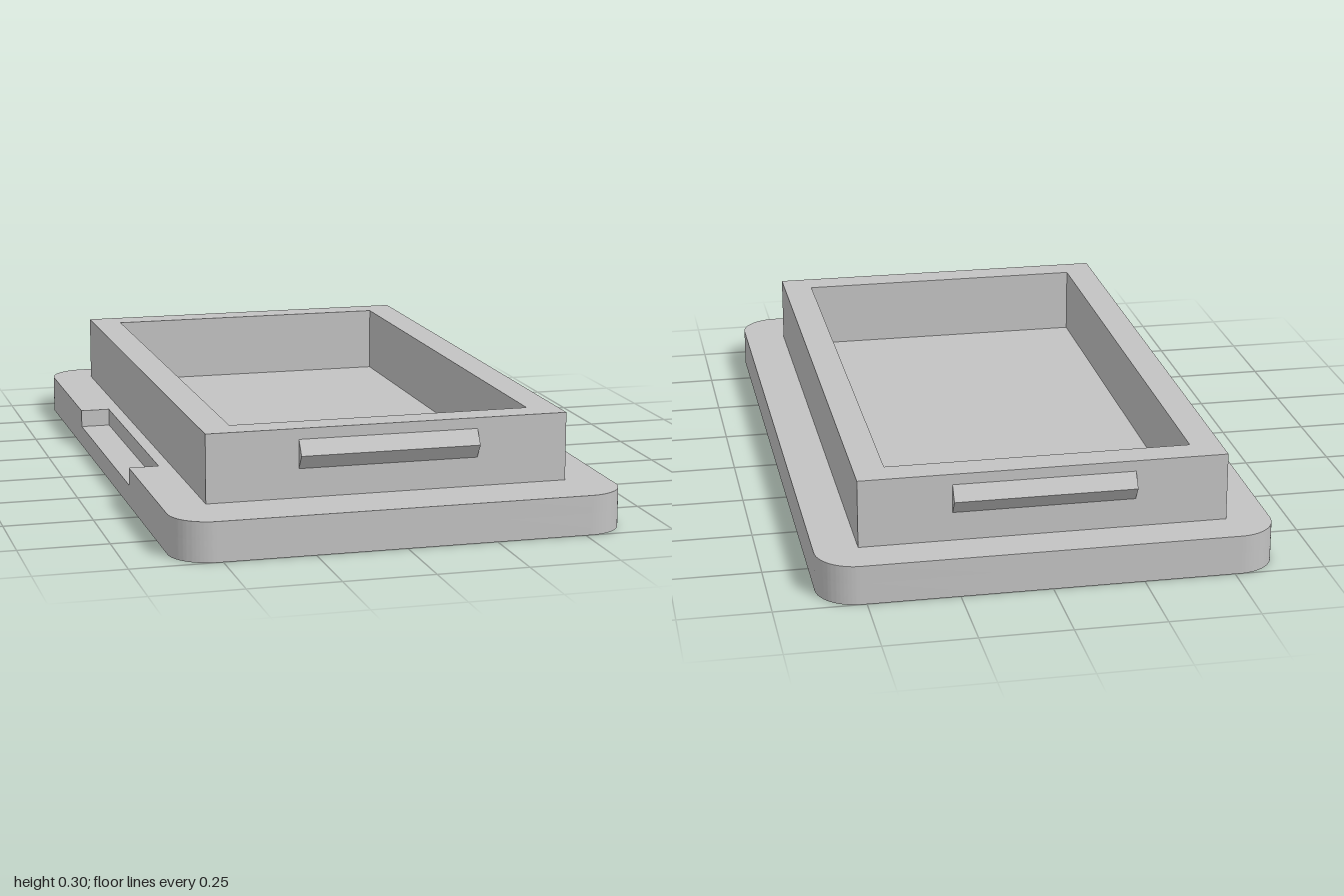
import * as THREE from 'three';
import { toCreasedNormals } from 'three/addons/utils/BufferGeometryUtils.js';

const W = 0.625, L = 1, R = 0.11; // base half width, half length, corner radius
const BASE_H = 0.11, NOTCH_Y = 0.06, TOP = 0.3;

// Rounded outline of the base; shape y is -z. Optional finger notch in the -x edge.
function baseShape(notched) {
  const s = new THREE.Shape();
  s.moveTo(-W + R, -L);
  s.lineTo(W - R, -L);
  s.absarc(W - R, -L + R, R, -Math.PI / 2, 0);
  s.lineTo(W, L - R);
  s.absarc(W - R, L - R, R, 0, Math.PI / 2);
  s.lineTo(-W + R, L);
  s.absarc(-W + R, L - R, R, Math.PI / 2, Math.PI);
  if (notched) {
    s.lineTo(-W, 0.38);
    s.lineTo(-0.54, 0.38);
    s.lineTo(-0.54, -0.375);
    s.lineTo(-W, -0.375);
  }
  s.lineTo(-W, -L + R);
  s.absarc(-W + R, -L + R, R, Math.PI, Math.PI * 1.5);
  return s;
}

function rect(Type, x, y0, y1) {
  return new Type([[-x, y0], [x, y0], [x, y1], [-x, y1]].map(([a, b]) => new THREE.Vector2(a, b)));
}

// Extrudes a plan outline upward between two heights
function slab(shape, y0, y1) {
  const g = new THREE.ExtrudeGeometry(shape, { depth: y1 - y0, bevelEnabled: false, curveSegments: 16 });
  g.rotateX(-Math.PI / 2).translate(0, y0, 0);
  return toCreasedNormals(g, 0.5);
}

export function createModel() {
  const group = new THREE.Group();
  const grey = new THREE.MeshStandardMaterial({ color: 0xc2c2c2 });
  grey.name = 'grey plastic';
  const add = (name, geometry) => {
    const mesh = new THREE.Mesh(geometry, grey);
    mesh.name = name;
    group.add(mesh);
    return mesh;
  };

  // Lid plate: solid lower layer, notched upper layer
  add('basePlate', slab(baseShape(false), 0, NOTCH_Y));
  add('notchedPlate', slab(baseShape(true), NOTCH_Y, BASE_H));

  // Raised rectangular rim, slightly towards the back
  const rim = rect(THREE.Shape, 0.505, -0.82, 0.88);
  rim.holes.push(rect(THREE.Path, 0.42, -0.735, 0.795));
  add('rimWall', slab(rim, BASE_H, TOP));

  // Triangular snap ridges on the front and back of the rim
  const ridge = new THREE.Shape();
  ridge.moveTo(0, 0.19);
  ridge.lineTo(0.028, 0.23);
  ridge.lineTo(0, 0.27);
  const ridgeGeometry = new THREE.ExtrudeGeometry(ridge, { depth: 0.5, bevelEnabled: false });
  ridgeGeometry.translate(0, 0, -0.25).rotateY(-Math.PI / 2);
  add('frontSnapRidge', ridgeGeometry).position.z = 0.82;
  const back = add('backSnapRidge', ridgeGeometry);
  back.position.z = -0.88;
  back.rotation.y = Math.PI;

  return group;
}
